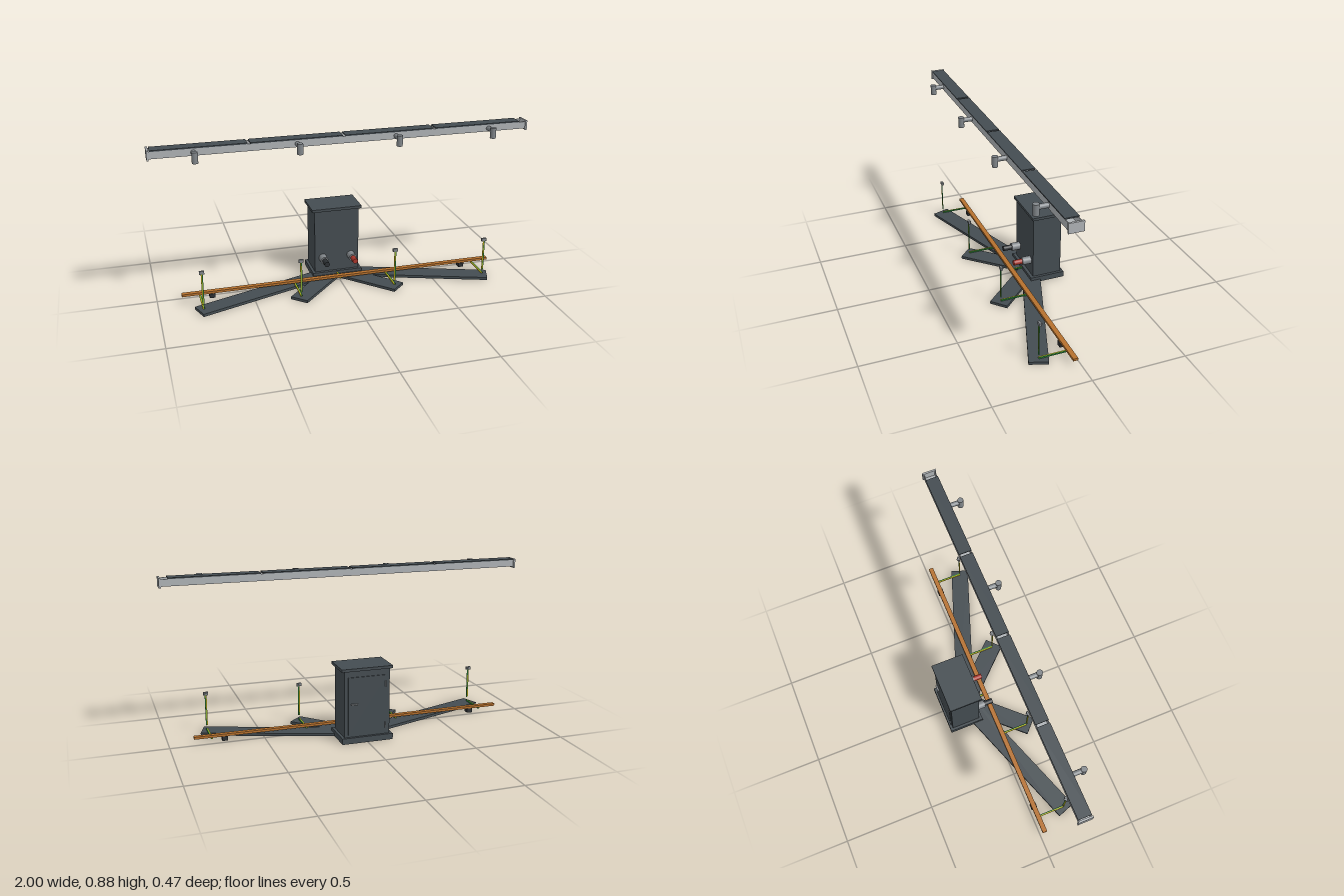
import * as THREE from 'three';

const mat = (name, color, side = THREE.FrontSide) => {
  const m = new THREE.MeshStandardMaterial({ color, side });
  m.name = name;
  return m;
};

export function createModel() {
  const slate = mat('slate', 0x444c51);
  const charcoal = mat('charcoal', 0x2c3033);
  const steel = mat('steel', 0x82878b);
  const zinc = mat('zinc', 0xaeb2b5);
  const copper = mat('copper', 0xb5702d);
  const red = mat('red', 0xa8352b);
  const green = mat('green', 0x2f8a3c);
  const yellow = mat('yellow', 0xd9c81e);

  const model = new THREE.Group();
  const group = (name, parent = model) => {
    const g = new THREE.Group();
    g.name = name;
    parent.add(g);
    return g;
  };
  const add = (parent, name, geo, material, x, y, z) => {
    const m = new THREE.Mesh(geo, material);
    m.name = name;
    m.position.set(x, y, z);
    parent.add(m);
    return m;
  };
  // Box given by its limits on each axis
  const box = (parent, name, material, [x0, x1], [y0, y1], [z0, z1]) =>
    add(parent, name, new THREE.BoxGeometry(x1 - x0, y1 - y0, z1 - z0), material,
      (x0 + x1) / 2, (y0 + y1) / 2, (z0 + z1) / 2);
  // Cylinder lying along z
  const pipeZ = (parent, name, material, r, x, y, z0, z1) =>
    add(parent, name, new THREE.CylinderGeometry(r, r, z1 - z0, 24).rotateX(Math.PI / 2),
      material, x, y, (z0 + z1) / 2);

  // Cabinet with plinth, roof and rear door
  const cabinet = group('cabinet');
  box(cabinet, 'plinth', slate, [-0.14, 0.14], [0, 0.032], [-0.237, -0.043]);
  box(cabinet, 'cabinetBody', slate, [-0.125, 0.125], [0.032, 0.39], [-0.222, -0.06]);
  box(cabinet, 'roof', slate, [-0.14, 0.14], [0.39, 0.405], [-0.231, -0.05]);
  box(cabinet, 'door', slate, [-0.105, 0.105], [0.045, 0.357], [-0.227, -0.222]);
  for (const y of [0.083, 0.31])
    add(cabinet, 'hinge', new THREE.CylinderGeometry(0.004, 0.004, 0.032, 12), steel, -0.1, y, -0.227);
  box(cabinet, 'handle', steel, [0.055, 0.09], [0.209, 0.216], [-0.237, -0.227]);

  // Cable sockets on the front of the cabinet
  for (const [x, material] of [[-0.081, charcoal], [0.08, red]]) {
    pipeZ(cabinet, 'socket', steel, 0.022, x, 0.115, -0.06, -0.011);
    pipeZ(cabinet, 'plug', material, 0.0145, x, 0.115, -0.011, 0.038);
  }

  // Foot slabs fanning out from the cabinet to each stake
  const stakeX = [-0.777, -0.26, 0.26, 0.777];
  const hubZ = -0.095, stakeZ = 0.18;
  const feet = group('feet');
  for (const x of stakeX) {
    const dz = stakeZ - hubZ;
    const length = Math.hypot(x, dz) + 0.026;
    const foot = add(feet, 'foot', new THREE.BoxGeometry(0.1, 0.015, length).translate(0, 0, length / 2),
      slate, 0, 0.0075, hubZ);
    foot.rotation.y = Math.atan2(x, dz);
  }

  // Copper bar on two blocks
  const bar = group('copperBar');
  box(bar, 'bar', copper, [-0.873, 0.871], [0.028, 0.041], [0.014, 0.04]);
  for (const x of [-0.713, 0.709])
    box(bar, 'barBlock', charcoal, [x - 0.015, x + 0.015], [0.004, 0.028], [0.012, 0.044]);

  // Two-coloured wires: yellow on one side, green on the other
  const wire = (parent, name, x, y, z) => {
    box(parent, name + 'Yellow', yellow, [x - 0.005, x], y, z);
    box(parent, name + 'Green', green, [x, x + 0.005], y, z);
  };
  const wires = group('earthWires');
  for (const x of stakeX) {
    wire(wires, 'riser', x, [0.042, 0.215], [0.178, 0.182]);
    wire(wires, 'groundWire', x, [0.017, 0.024], [0.027, stakeZ]);
    box(wires, 'clampHead', steel, [x - 0.013, x + 0.013], [0.213, 0.23], [0.172, 0.183]);
    pipeZ(wires, 'clampBolt', steel, 0.006, x, 0.221, 0.166, 0.172);
  }
  wire(wires, 'cabinetWire', 0, [0.017, 0.024], [-0.045, 0.027]);

  // Gutter channel with end caps and four covers
  const gutter = group('gutter');
  const span = [-0.99, 0.99];
  box(gutter, 'gutterFloor', zinc, span, [0.832, 0.836], [0.08, 0.145]);
  box(gutter, 'gutterFront', zinc, span, [0.832, 0.869], [0.141, 0.145]);
  box(gutter, 'gutterBack', zinc, span, [0.832, 0.869], [0.08, 0.084]);
  for (const s of [-1, 1])
    add(gutter, 'endCap', new THREE.BoxGeometry(0.01, 0.051, 0.076), zinc, s * 0.995, 0.85, 0.1125);
  for (let i = 0; i < 4; i++) {
    const x = -0.985 + i * 0.488;
    box(gutter, 'cover', slate, [x, x + 0.474], [0.869, 0.875], [0.078, 0.147]);
  }

  // Outlets along the gutter, each above a stake
  for (const x of stakeX) {
    const outlet = group('outlet', gutter);
    pipeZ(outlet, 'outletArm', steel, 0.0125, x, 0.85, 0.145, 0.2);
    add(outlet, 'outletSpout', new THREE.CylinderGeometry(0.0155, 0.0155, 0.056, 24), steel, x, 0.84, 0.204);
  }

  return model;
}
